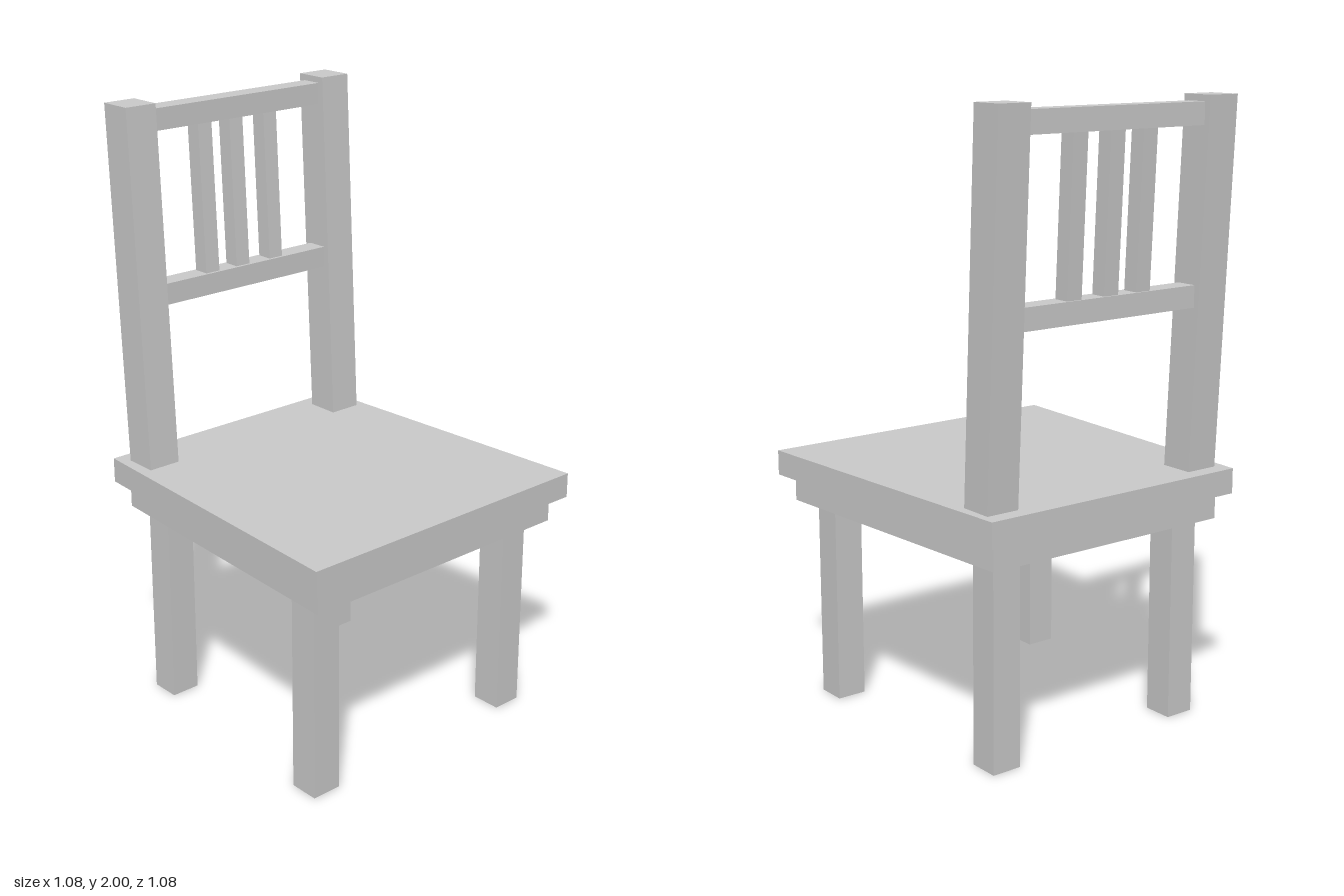
import * as THREE from 'three';

const material = new THREE.MeshStandardMaterial({ color: 0xcccccc, flatShading: true });

// Box given by its x, y, z ranges; rule(v) may move each corner
function block(name, [x0, x1], [y0, y1], [z0, z1], rule) {
  const g = new THREE.BoxGeometry(x1 - x0, y1 - y0, z1 - z0);
  g.translate((x0 + x1) / 2, (y0 + y1) / 2, (z0 + z1) / 2);
  if (rule) {
    const p = g.attributes.position;
    const v = new THREE.Vector3();
    for (let i = 0; i < p.count; i++) {
      v.fromBufferAttribute(p, i);
      rule(v);
      p.setXYZ(i, v.x, v.y, v.z);
    }
    g.computeVertexNormals();
  }
  const mesh = new THREE.Mesh(g, material);
  mesh.name = name;
  return mesh;
}

// Backward lean of the backrest: centre line x at height y
const leanX = (y) => -0.432 - (y - 0.83) * 0.0475;
const lean = (v) => { v.x += leanX(v.y); };

// Seat boards narrow toward the back
const narrow = (v) => { if (v.x < 0) v.z *= 0.887; };

export function createModel() {
  const chair = new THREE.Group();
  chair.name = 'chair';

  // Seat and the smaller board under it
  chair.add(block('seat', [-0.54, 0.54], [0.75, 0.832], [-0.54, 0.54], narrow));
  chair.add(block('seatFrame', [-0.5, 0.5], [0.665, 0.75], [-0.5, 0.5], narrow));

  // Legs, the back pair set closer together
  for (const [name, x, z] of [
    ['frontLegLeft', 0.394, 0.416], ['frontLegRight', 0.394, -0.398],
    ['backLegLeft', -0.394, 0.362], ['backLegRight', -0.394, -0.352],
  ]) {
    chair.add(block(name, [x - 0.05, x + 0.05], [0, 0.665], [z - 0.05, z + 0.05]));
  }

  // Leaning backrest posts
  for (const z of [0.392, -0.4]) {
    chair.add(block('backPost', [-0.056, 0.056], [0.83, 2], [z - 0.056, z + 0.056], lean));
  }

  // Level rails between the posts
  for (const [name, y] of [['topRail', 1.945], ['lowerRail', 1.39]]) {
    const x = leanX(y);
    chair.add(block(name, [x - 0.035, x + 0.035], [y - 0.035, y + 0.035], [-0.345, 0.337]));
  }

  // Slats between the rails
  for (const z of [0.13, 0.004, -0.137]) {
    chair.add(block('slat', [-0.027, 0.027], [1.425, 1.91], [z - 0.027, z + 0.027], lean));
  }

  return chair;
}
